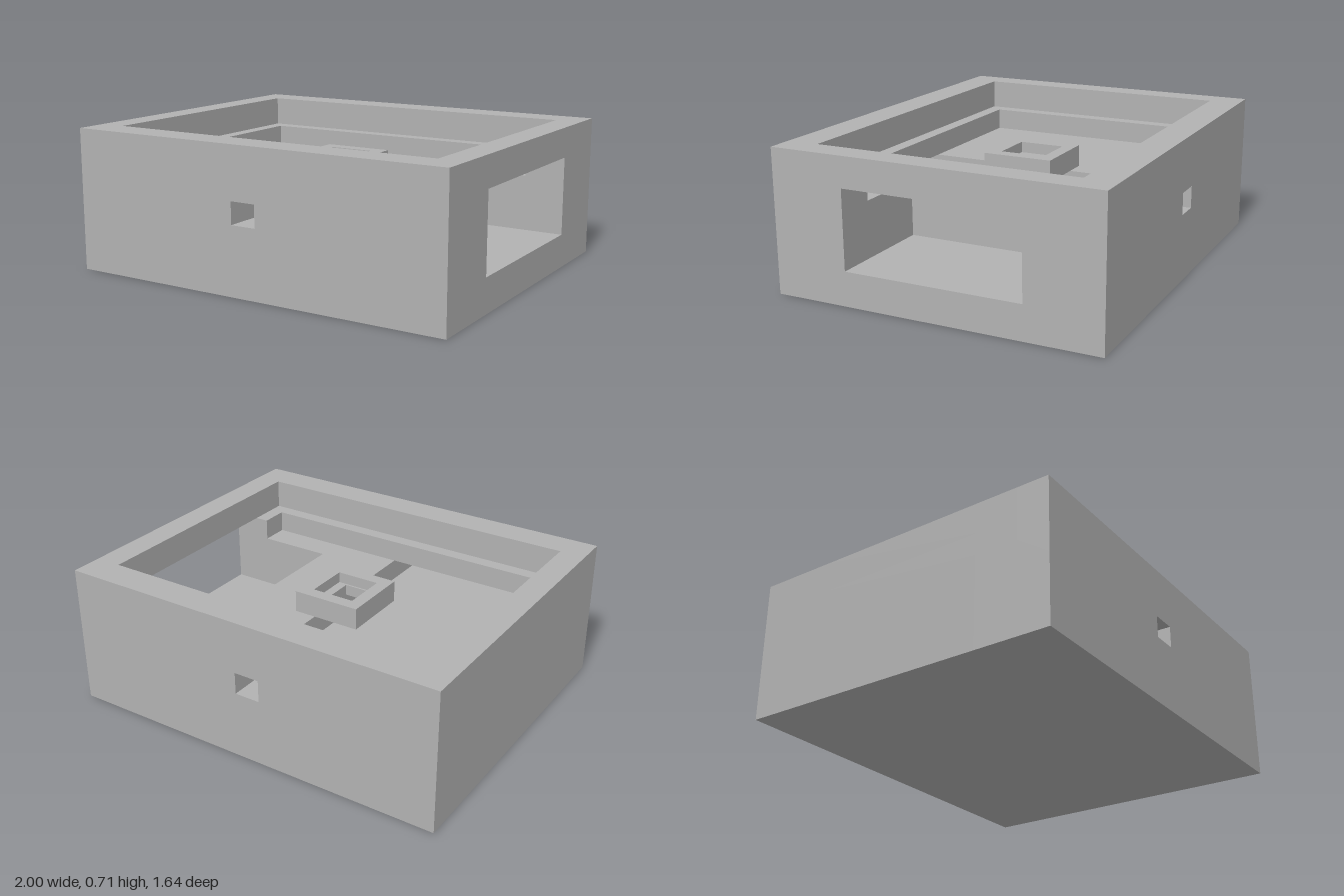
import * as THREE from 'three';

// Box bounds: [x0, x1, y0, y1, z0, z1]
const inside = (b, p) => p.every((v, i) => v > b[2 * i] && v < b[2 * i + 1]);

// Cuts boxes out of a block on an irregular grid and keeps only the exposed faces.
function carve(name, block, cuts, material) {
  const lines = [0, 1, 2].map((a) => {
    const all = [block, ...cuts].flatMap((b) => [b[2 * a], b[2 * a + 1]]);
    return [...new Set(all)]
      .filter((v) => v >= block[2 * a] && v <= block[2 * a + 1])
      .sort((m, n) => m - n);
  });
  const solid = (cell) => {
    if (cell.some((c, a) => c < 0 || c >= lines[a].length - 1)) return false;
    const p = cell.map((c, a) => (lines[a][c] + lines[a][c + 1]) / 2);
    return !cuts.some((b) => inside(b, p));
  };
  const positions = [];
  const addFace = (cell, a, side) => {
    const u = (a + 1) % 3, v = (a + 2) % 3;
    const corner = (du, dv) => {
      const p = [0, 0, 0];
      p[a] = lines[a][cell[a] + side];
      p[u] = lines[u][cell[u] + du];
      p[v] = lines[v][cell[v] + dv];
      return p;
    };
    const q = [corner(0, 0), corner(1, 0), corner(1, 1), corner(0, 1)];
    if (!side) q.reverse();
    for (const i of [0, 1, 2, 0, 2, 3]) positions.push(...q[i]);
  };
  for (let i = 0; i < lines[0].length - 1; i++)
    for (let j = 0; j < lines[1].length - 1; j++)
      for (let k = 0; k < lines[2].length - 1; k++) {
        const cell = [i, j, k];
        if (!solid(cell)) continue;
        for (let a = 0; a < 3; a++)
          for (const side of [0, 1]) {
            const next = [...cell];
            next[a] += side ? 1 : -1;
            if (!solid(next)) addFace(cell, a, side);
          }
      }
  const geometry = new THREE.BufferGeometry();
  geometry.setAttribute('position', new THREE.Float32BufferAttribute(positions, 3));
  geometry.computeVertexNormals();
  const mesh = new THREE.Mesh(geometry, material);
  mesh.name = name;
  return mesh;
}

export function createModel() {
  const grey = new THREE.MeshStandardMaterial({ color: 0xb2b2b2 });
  grey.name = 'grey';

  const floor = 0.45, ledge = 0.56, top = 0.71;
  const group = new THREE.Group();
  group.name = 'housing';

  // Open box with a stepped rim, a side window and a channel from front to back
  group.add(carve('housingBody', [-1, 1, 0, top, -0.82, 0.82], [
    [-0.87, 0.867, ledge, 1, -0.66, 0.66],      // upper recess
    [-0.8, 0.797, floor, 1, -0.59, 0.59],       // main tray
    [0.417, 2, 0.17, ledge, -0.446, 0.446],     // side window and its pocket
    [-0.087, 0.043, 0.34, floor, -2, 2],        // channel through both walls
  ], grey));

  // Square collar bridging the channel, with a stepped opening
  group.add(carve('centreCollar', [-0.198, 0.155, floor, ledge, -0.18, 0.18], [
    [-0.134, 0.09, 0.505, 1, -0.115, 0.115],    // shallow seat
    [-0.087, 0.043, 0, 1, -0.105, 0.105],       // hole down to the channel
  ], grey));

  return group;
}
